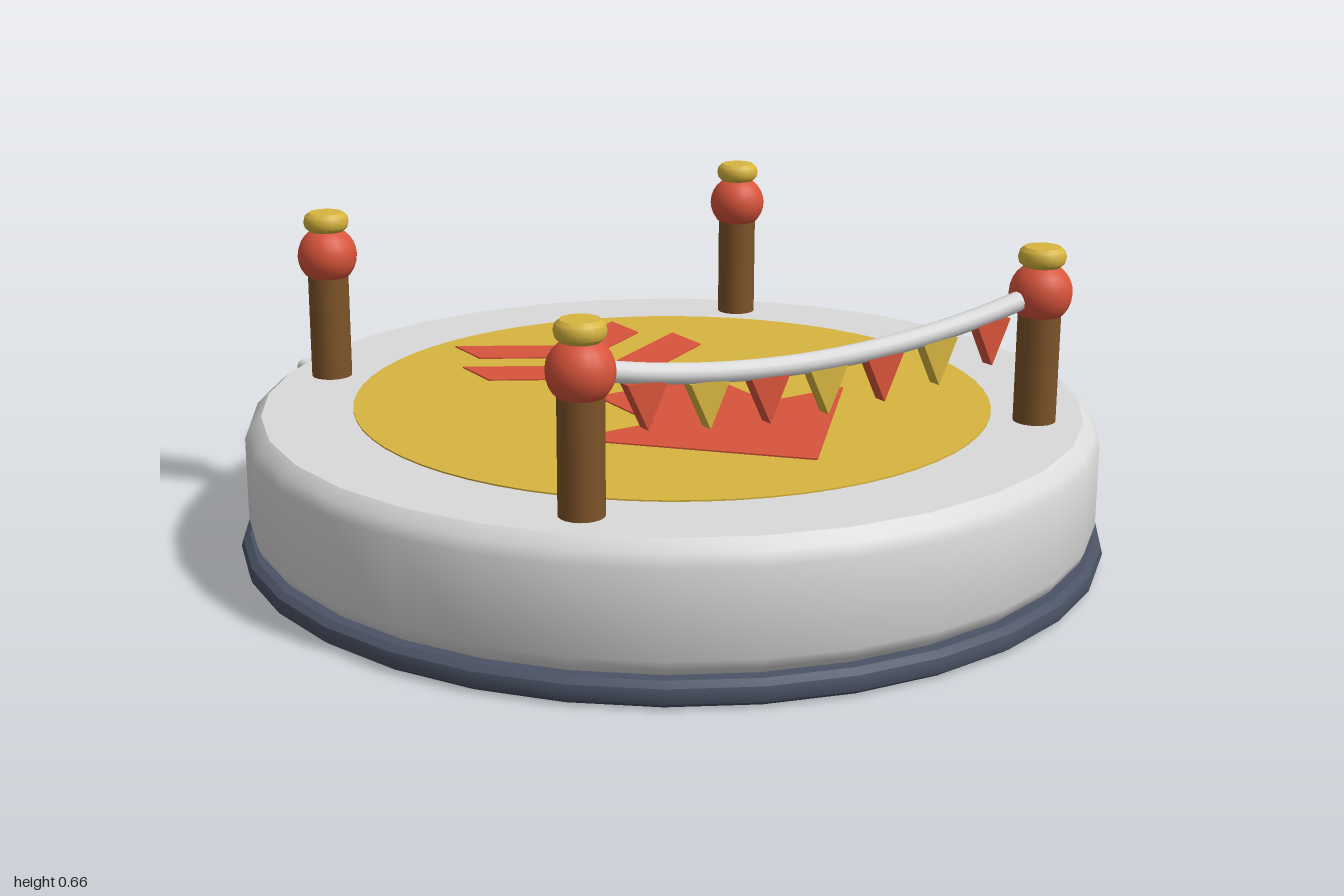
import * as THREE from 'three';
import { toCreasedNormals } from 'three/addons/utils/BufferGeometryUtils.js';
import { RoundedBoxGeometry } from 'three/addons/geometries/RoundedBoxGeometry.js';

const material = (name, color) => {
  const m = new THREE.MeshStandardMaterial({ color });
  m.name = name;
  return m;
};

export function createModel() {
  const stone = material('pale stone', 0xdadada);
  const slate = material('slate', 0x4a5365);
  const gold = material('gold', 0xd8b53f);
  const red = material('red', 0xd9543b);
  const wood = material('wood', 0x7e5429);

  const model = new THREE.Group();
  model.name = 'stage';
  const centreZ = 0.1;
  const deckY = 0.3;

  const add = (name, geometry, mat, x = 0, y = 0, z = 0, parent = model) => {
    const mesh = new THREE.Mesh(geometry, mat);
    mesh.name = name;
    mesh.position.set(x, y, z);
    parent.add(mesh);
    return mesh;
  };
  const lathe = (points, sides) => toCreasedNormals(
    new THREE.LatheGeometry(points.map(([r, y]) => new THREE.Vector2(r, y)), sides), 0.6);
  const outline = (points) => new THREE.Shape(points.map(([x, y]) => new THREE.Vector2(x, y)));

  // Round platform on a slate foot
  add('foot', lathe([[0, 0], [0.88, 0], [0.894, 0.01], [0.898, 0.025], [0.894, 0.04], [0.88, 0.05], [0, 0.05]], 32),
    slate, 0, 0, centreZ);
  add('platform', lathe([[0, 0.045], [0.85, 0.045], [0.872, 0.065], [0.88, 0.085], [0.88, 0.255],
    [0.87, 0.28], [0.846, deckY], [0, deckY]], 32), stone, 0, 0, centreZ);

  // Painted deck: gold disc, arrow and two chevrons, outlines given as x, z
  const paint = (name, points) => {
    const geometry = new THREE.ExtrudeGeometry(outline(points.map(([x, z]) => [x, -z])),
      { depth: 0.006, bevelEnabled: false });
    add(name, geometry.rotateX(-Math.PI / 2), red, 0, deckY, 0);
  };
  add('deckDisc', new THREE.CylinderGeometry(0.66, 0.66, 0.006, 64), gold, 0, deckY, centreZ);
  paint('arrow', [[-0.14, 0.03], [-0.14, 0.25], [-0.335, 0.25], [0, 0.61],
    [0.335, 0.25], [0.14, 0.25], [0.14, 0.03]]);
  const chevron = (name, w, outer, inner, thick) => paint(name, [[-w, outer], [-w, outer + thick],
    [0, inner + thick], [w, outer + thick], [w, outer], [0, inner]]);
  chevron('rearChevron', 0.207, -0.478, -0.355, 0.115);
  chevron('frontChevron', 0.272, -0.317, -0.16, 0.118);

  // Back stairs, each lower step reaching further out
  const steps = new THREE.Group();
  steps.name = 'stairs';
  model.add(steps);
  for (let i = 0; i < 3; i++) {
    const depth = 0.345 - i * 0.08;
    add('step', new RoundedBoxGeometry(0.89, 0.077, depth, 2, 0.016), stone,
      0, 0.0395 + i * 0.074, -0.655 - depth / 2, steps);
  }

  // Four posts with a ball and a cap
  const shaft = new THREE.CylinderGeometry(0.043, 0.043, 0.26, 20);
  const ball = new THREE.SphereGeometry(0.063, 20, 14);
  const cap = lathe([[0, -0.02], [0.036, -0.02], [0.045, -0.012], [0.048, 0],
    [0.045, 0.012], [0.036, 0.02], [0, 0.02]], 20);
  for (const x of [-0.53, 0.53]) {
    for (const z of [-0.433, 0.627]) {
      const post = new THREE.Group();
      post.name = 'post';
      post.position.set(x, deckY, z);
      model.add(post);
      add('postShaft', shaft, wood, 0, 0.13, 0, post);
      add('postBall', ball, red, 0, 0.265, 0, post);
      add('postCap', cap, gold, 0, 0.338, 0, post);
    }
  }

  // Sagging rope across the front with seven pennants
  const bunting = new THREE.Group();
  bunting.name = 'bunting';
  bunting.position.z = 0.627;
  model.add(bunting);
  const ropeY = (x) => 0.505 + 0.22 * x * x;
  const path = [-0.52, -0.39, -0.26, -0.13, 0, 0.13, 0.26, 0.39, 0.52]
    .map((x) => new THREE.Vector3(x, ropeY(x), 0));
  add('rope', new THREE.TubeGeometry(new THREE.CatmullRomCurve3(path), 32, 0.02, 12), stone, 0, 0, 0, bunting);
  const pennant = new THREE.ExtrudeGeometry(outline([[-0.043, 0], [0, -0.09], [0.043, 0]]),
    { depth: 0.028, bevelEnabled: false }).translate(0, 0, -0.014);
  for (let i = -3; i <= 3; i++) {
    const x = i * 0.133;
    add('pennant', pennant, i % 2 ? red : gold, x, ropeY(x) - 0.013, 0, bunting);
  }

  return model;
}
